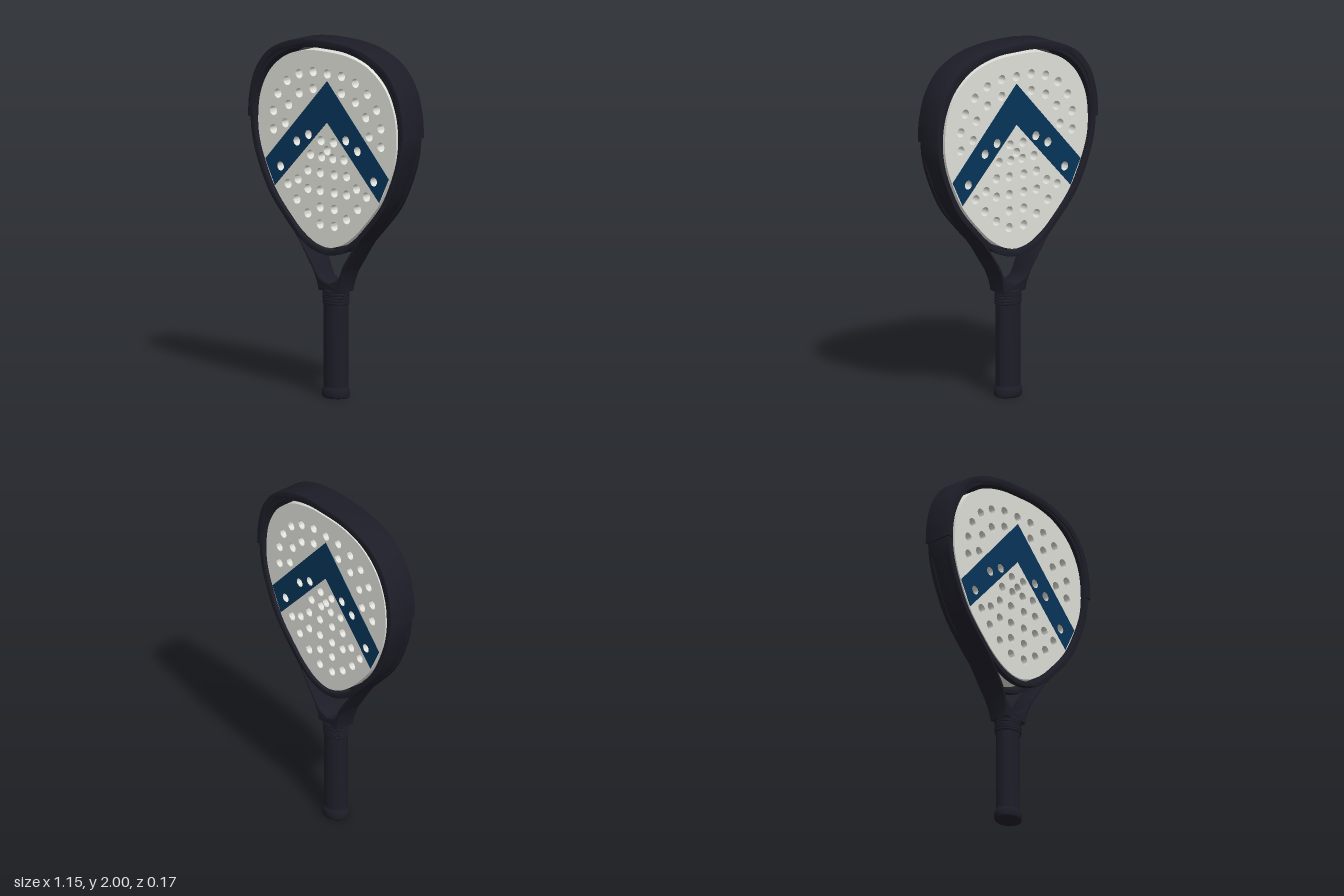
import * as THREE from 'three';
import { toCreasedNormals } from 'three/addons/utils/BufferGeometryUtils.js';

const material = (name, color) => {
  const m = new THREE.MeshStandardMaterial({ color });
  m.name = name;
  return m;
};

// Half profiles (right side, top to bottom), mirrored across x = 0
const FRAME_OUTER = [[0, 1.985], [0.15, 1.978], [0.285, 1.95], [0.42, 1.88], [0.51, 1.765], [0.553, 1.63], [0.564, 1.52],
  [0.555, 1.43], [0.51, 1.295], [0.445, 1.15], [0.34, 1.01], [0.225, 0.885], [0.132, 0.75], [0.105, 0.7], [0.086, 0.64], [0.079, 0.597]];
const HEAD_INNER = [[0, 1.955], [0.16, 1.947], [0.32, 1.897], [0.44, 1.8], [0.51, 1.66], [0.53, 1.52],
  [0.515, 1.39], [0.465, 1.25], [0.395, 1.12], [0.29, 1.0]];
const RIM_BOTTOM = [[0.192, 0.907], [0.095, 0.852], [0, 0.834]];
const THROAT = [[0.225, 0.915], [0.195, 0.865], [0.15, 0.805], [0.113, 0.75], [0.09, 0.705], [0.063, 0.668], [0.025, 0.65], [0, 0.643]];
const PLATE = [[0, 1.938], [0.15, 1.93], [0.3, 1.885], [0.42, 1.79], [0.49, 1.66], [0.51, 1.52], [0.5, 1.4],
  [0.45, 1.26], [0.375, 1.12], [0.27, 1.0], [0.18, 0.917], [0.085, 0.862], [0, 0.845]];
const GUARD = [[0, 2], [0.15, 1.993], [0.29, 1.965], [0.43, 1.895], [0.525, 1.775], [0.567, 1.63], [0.575, 1.51]];

// Hole centres: mirrored pairs, those through the chevron, and the middle ones
const HOLES = [[0.105, 1.815], [0.208, 1.79], [0.297, 1.74], [0.365, 1.66], [0.397, 1.56], [0.397, 1.457],
  [0.105, 1.72], [0.208, 1.683], [0.285, 1.608], [0.31, 1.503], [0.046, 1.437], [0.041, 1.347], [0.124, 1.35],
  [0.052, 1.257], [0.143, 1.26], [0.052, 1.157], [0.143, 1.157], [0.052, 1.065],
  [0.052, 0.97], [0.143, 1.02], [0.224, 1.087], [0.216, 1.2], [0.29, 1.165]];
const CHEVRON_HOLES = [[0.138, 1.46], [0.224, 1.412], [0.344, 1.257]];
const MIDDLE_HOLES = [[0, 1.815], [0, 1.387]];
const HOLE_RADIUS = 0.026;

const mirrored = (pts) => [...pts, ...pts.map(([x, y]) => [-x, y])];

// Smooth counter-clockwise loop from a half profile that starts and ends on the axis
function closedLoop(half, n = 120) {
  const left = half.slice(1, -1).map(([x, y]) => [-x, y]);
  const pts = [half[0], ...left, ...half.slice(1).reverse()].map(([x, y]) => new THREE.Vector3(x, y, 0));
  return new THREE.CatmullRomCurve3(pts, true).getPoints(n).slice(0, n).map((p) => new THREE.Vector2(p.x, p.y));
}

// Smooth arch from the right over the top to the left
function arch(half, n = 100) {
  const left = half.slice(1).map(([x, y]) => [-x, y]);
  const pts = [...half.slice().reverse(), ...left].map(([x, y]) => new THREE.Vector2(x, y));
  return new THREE.SplineCurve(pts).getPoints(n);
}

// Moves each point of a counter-clockwise path outwards
function offset(pts, d, closed) {
  const n = pts.length;
  return pts.map((p, i) => {
    const a = closed ? pts[(i + n - 1) % n] : pts[Math.max(i - 1, 0)];
    const b = closed ? pts[(i + 1) % n] : pts[Math.min(i + 1, n - 1)];
    const t = b.clone().sub(a).normalize();
    return new THREE.Vector2(p.x + t.y * d, p.y - t.x * d);
  });
}

const circleHole = ([x, y]) => new THREE.Path().absarc(x, y, HOLE_RADIUS, 0, Math.PI * 2, true);

// Extrudes a counter-clockwise shape between two z values with a small rounded edge
function slab(shape, z0, z1, bevel = 0) {
  const geo = new THREE.ExtrudeGeometry(shape, {
    depth: z1 - z0 - 2 * bevel, curveSegments: 10, bevelEnabled: bevel > 0,
    bevelSize: bevel, bevelThickness: bevel, bevelOffset: -bevel, bevelSegments: 2,
  });
  return geo.translate(0, 0, z0 + bevel);
}

export function createModel() {
  const dark = material('charcoal', 0x1d1d28);
  const pale = material('paleGrey', 0xe0e0da);
  const blue = material('navyBlue', 0x06345a);
  const racket = new THREE.Group();
  racket.name = 'racket';
  const add = (name, geo, mat) => {
    const mesh = new THREE.Mesh(geo, mat);
    mesh.name = name;
    racket.add(mesh);
  };

  // Frame with open throat, thinning towards the grip
  const frameShape = new THREE.Shape(arch(FRAME_OUTER, 160));
  frameShape.holes.push(new THREE.Path(closedLoop([...HEAD_INNER, ...THROAT], 160)));
  const frameGeo = slab(frameShape, -0.078, 0.078, 0.006);
  const pos = frameGeo.attributes.position;
  for (let i = 0; i < pos.count; i++) {
    const t = THREE.MathUtils.smoothstep(pos.getY(i), 0.58, 0.8);
    pos.setZ(i, pos.getZ(i) * (0.76 + 0.24 * t));
  }
  add('frame', toCreasedNormals(frameGeo, 0.7), dark);

  // Front and back rims, which bridge the throat below the face
  const inner = closedLoop([...HEAD_INNER, ...RIM_BOTTOM], 140);
  const rimShape = new THREE.Shape(offset(inner, 0.031, true));
  rimShape.holes.push(new THREE.Path(inner));
  add('frontRim', toCreasedNormals(slab(rimShape, 0.05, 0.08, 0.004), 0.7), dark);
  add('backRim', toCreasedNormals(slab(rimShape, -0.08, -0.05, 0.004), 0.7), dark);

  // Bumper guard around the top of the head
  const guardOuter = arch(GUARD);
  const guardShape = new THREE.Shape([...guardOuter, ...offset(guardOuter, -0.038, false).reverse()]);
  add('bumperGuard', toCreasedNormals(slab(guardShape, -0.086, 0.086, 0.004), 0.7), dark);

  // Perforated hitting face
  const faceShape = new THREE.Shape(closedLoop(PLATE, 140));
  faceShape.holes = [...mirrored(HOLES), ...mirrored(CHEVRON_HOLES), ...MIDDLE_HOLES].map(circleHole);
  add('hittingFace', toCreasedNormals(slab(faceShape, -0.072, 0.072), 0.7), pale);

  // Painted chevron on both sides
  const chevronShape = new THREE.Shape([[0, 1.775], [-0.456, 1.285], [-0.385, 1.145], [0, 1.545],
    [0.385, 1.145], [0.456, 1.285]].map(([x, y]) => new THREE.Vector2(x, y)));
  chevronShape.holes = mirrored(CHEVRON_HOLES).map(circleHole);
  add('frontChevron', slab(chevronShape, 0.071, 0.0745), blue);
  add('backChevron', slab(chevronShape, -0.0745, -0.071), blue);

  // Oval grip with flared butt cap
  const lathe = (name, profile) => {
    const geo = new THREE.LatheGeometry(profile.map(([r, y]) => new THREE.Vector2(r, y)), 40);
    add(name, toCreasedNormals(geo.scale(1, 1, 0.83), 0.6), dark);
  };
  lathe('grip', [[0.073, 0.04], [0.073, 0.54]]);
  lathe('buttCap', [[0, 0], [0.074, 0], [0.081, 0.006], [0.084, 0.02], [0.083, 0.04], [0.078, 0.054], [0.072, 0.062]]);

  // Ringed collar above the grip
  const collar = [[0.07, 0.522]];
  for (let i = 0; i < 5; i++) {
    const y = 0.524 + i * 0.016;
    collar.push([0.077, y], [0.08, y + 0.004], [0.08, y + 0.012], [0.077, y + 0.016]);
  }
  collar.push([0.074, 0.608], [0, 0.61]);
  lathe('collar', collar);

  return racket;
}
